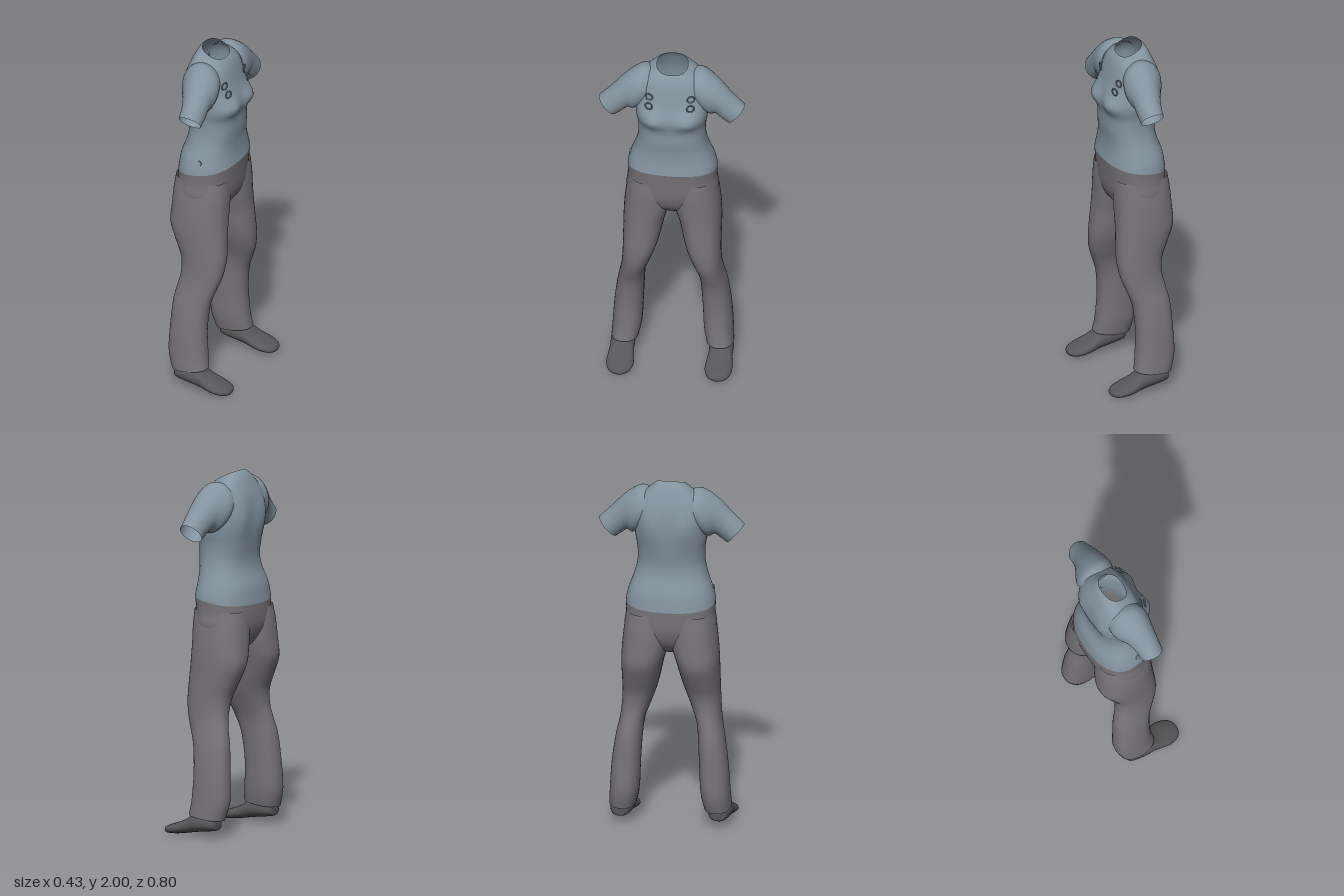
import * as THREE from 'three';

const V = (x, y, z) => new THREE.Vector3(x, y, z);
const mat = (name, color) => new THREE.MeshStandardMaterial({ name, color, side: THREE.DoubleSide });

// Catmull-Rom interpolation of table rows, for smooth outlines
function smooth(rows, steps = 4) {
  const out = [];
  const at = i => rows[Math.min(rows.length - 1, Math.max(0, i))];
  for (let i = 0; i < rows.length - 1; i++) {
    const [a, b, c, d] = [at(i - 1), at(i), at(i + 1), at(i + 2)];
    for (let s = 0; s < steps; s++) {
      const t = s / steps;
      out.push(b.map((p, k) => {
        const cubic = 3 * (p - c[k]) + d[k] - a[k];
        const square = 2 * a[k] - 5 * p + 4 * c[k] - d[k];
        return p + 0.5 * t * (c[k] - a[k] + t * (square + t * cubic));
      }));
    }
  }
  out.push(at(rows.length - 1));
  return out;
}

// Skin over rings { c, u, v }: centre and two half axes; n sets how boxy they are
function loft(rings, { n = 2, seg = 40, cap = false, bend } = {}) {
  const pos = [], idx = [];
  const pw = k => Math.sign(k) * Math.abs(k) ** (2 / n);
  for (const { c, u, v } of rings) {
    for (let j = 0; j < seg; j++) {
      const a = j / seg * Math.PI * 2;
      const p = c.clone().addScaledVector(u, pw(Math.cos(a))).addScaledVector(v, pw(Math.sin(a)));
      if (bend) bend(p);
      pos.push(p.x, p.y, p.z);
    }
  }
  for (let i = 0; i < rings.length - 1; i++) {
    for (let j = 0; j < seg; j++) {
      const k = (j + 1) % seg, r = i * seg, q = r + seg;
      idx.push(r + j, r + k, q + j, r + k, q + k, q + j);
    }
  }
  if (cap) {
    for (const i of [0, rings.length - 1]) {
      const m = pos.length / 3, r = i * seg;
      pos.push(...rings[i].c.toArray());
      for (let j = 0; j < seg; j++) {
        const k = (j + 1) % seg;
        if (i) idx.push(m, r + j, r + k);
        else idx.push(m, r + k, r + j);
      }
    }
  }
  const g = new THREE.BufferGeometry();
  g.setAttribute('position', new THREE.Float32BufferAttribute(pos, 3));
  g.setIndex(idx);
  g.computeVertexNormals();
  return g;
}

// Upright ring from [y, back x, front x, inner z, outer z, front tilt]
const level = side => ([y, x0, x1, z0, z1, tilt]) => ({
  c: V((x0 + x1) / 2, y, side * (z0 + z1) / 2),
  u: V((x1 - x0) / 2, tilt, 0),
  v: V(0, 0, (z1 - z0) / 2),
});
// Rows with one half width become rows with both sides
const centred = ([y, x0, x1, hz, tilt]) => [y, x0, x1, -hz, hz, tilt];

// Soft hill on both sides of the body
function bump(p, y, z, ry, rz) {
  const dy = (p.y - y) / ry, dz = (Math.abs(p.z) - z) / rz;
  return Math.exp(-dy * dy - dz * dz);
}

export function createModel() {
  const model = new THREE.Group();
  const shirt = mat('shirt blue grey', 0x8394a0);
  const cloth = mat('trouser grey', 0x777478);
  const leather = mat('shoe dark grey', 0x575759);
  const add = (name, geo, m) => {
    const mesh = new THREE.Mesh(geo, m);
    mesh.name = name;
    model.add(mesh);
    return mesh;
  };

  // Shirt body, open at the neckline, with chest and shoulder blade fullness
  const torso = [
    [1.97, -0.09, 0.04, 0.085, -0.03], [1.95, -0.115, 0.055, 0.11, -0.025],
    [1.91, -0.14, 0.07, 0.16, -0.01], [1.86, -0.16, 0.085, 0.19, 0],
    [1.79, -0.17, 0.105, 0.2, 0], [1.72, -0.172, 0.125, 0.2, 0],
    [1.66, -0.168, 0.135, 0.195, 0], [1.6, -0.16, 0.127, 0.185, 0],
    [1.52, -0.15, 0.125, 0.185, 0], [1.45, -0.157, 0.118, 0.2, 0],
    [1.38, -0.185, 0.12, 0.225, 0.01], [1.33, -0.195, 0.125, 0.24, 0.02],
    [1.295, -0.2, 0.13, 0.245, 0.025],
  ].map(centred);
  add('shirtBody', loft(smooth(torso).map(level(1)), {
    n: 2.4, seg: 64,
    bend: p => {
      if (p.x > 0) p.x += 0.032 * bump(p, 1.685, 0.105, 0.05, 0.075);
      else if (p.x < -0.08) p.x -= 0.015 * bump(p, 1.75, 0.1, 0.1, 0.06);
    },
  }), shirt);

  // Hips, closing under the crotch
  const hips = [
    [1.295, -0.2, 0.13, 0.245, 0.025], [1.23, -0.2, 0.122, 0.244, 0.01],
    [1.15, -0.195, 0.113, 0.25, 0], [1.08, -0.17, 0.09, 0.2, 0],
    [1.03, -0.13, 0.05, 0.11, 0], [1.0, -0.08, 0.01, 0.03, 0],
  ].map(centred);
  add('trouserHips', loft(smooth(hips).map(level(1)), { n: 2.4, seg: 64 }), cloth);

  const legRows = [
    [1.24, -0.19, 0.11, 0.005, 0.235, 0], [1.15, -0.202, 0.114, 0, 0.252, 0],
    [1.05, -0.208, 0.113, 0.008, 0.263, 0], [0.95, -0.21, 0.115, 0.037, 0.268, 0],
    [0.85, -0.172, 0.12, 0.06, 0.268, 0], [0.76, -0.135, 0.123, 0.085, 0.268, 0],
    [0.67, -0.128, 0.112, 0.118, 0.272, 0], [0.59, -0.142, 0.085, 0.145, 0.282, 0],
    [0.5, -0.16, 0.055, 0.155, 0.3, 0], [0.35, -0.17, 0.04, 0.163, 0.32, 0],
    [0.2, -0.175, 0.048, 0.17, 0.33, 0], [0.11, -0.15, 0.06, 0.187, 0.335, 0.012],
  ];
  // Sleeve rows: top z, top y, bottom z, bottom y, back x, front x
  const sleeveRows = [
    [0.12, 1.94, 0.15, 1.72, -0.14, 0.07], [0.16, 1.947, 0.185, 1.69, -0.14, 0.08],
    [0.205, 1.927, 0.215, 1.675, -0.125, 0.078], [0.265, 1.88, 0.24, 1.685, -0.098, 0.07],
    [0.335, 1.805, 0.27, 1.662, -0.075, 0.066], [0.4, 1.74, 0.305, 1.635, -0.066, 0.062],
  ];
  // Shoe rows: x, sole y, top y, half width
  const shoeRows = [
    [-0.125, 0.055, 0.095, 0.02], [-0.112, 0.042, 0.115, 0.048],
    [-0.03, 0.03, 0.13, 0.066], [0.03, 0.02, 0.118, 0.065],
    [0.08, 0.011, 0.088, 0.071], [0.13, 0.004, 0.067, 0.075],
    [0.18, 0.001, 0.05, 0.061], [0.205, 0.006, 0.038, 0.036], [0.213, 0.015, 0.028, 0.012],
  ];

  for (const [s, side] of [[1, 'nearSide'], [-1, 'farSide']]) {
    add(side + 'TrouserLeg', loft(smooth(legRows).map(level(s)), { n: 2.3 }), cloth);

    add(side + 'Sleeve', loft(smooth(sleeveRows).map(([zt, yt, zb, yb, x0, x1]) => ({
      c: V((x0 + x1) / 2, (yt + yb) / 2, s * (zt + zb) / 2),
      u: V((x1 - x0) / 2, 0, 0),
      v: V(0, s * (yt - yb) / 2, (zt - zb) / 2),
    }))), shirt);

    add(side + 'Shoe', loft(smooth(shoeRows).map(([x, y0, y1, h]) => ({
      c: V(x, (y0 + y1) / 2, s * 0.27),
      u: V(0, (y1 - y0) / 2, 0),
      v: V(0, 0, h),
    })), { n: 2.2, cap: true }), leather);

    // Chest fastening loops
    for (const [y, x] of [[1.82, 0.088], [1.775, 0.112]]) {
      const loop = add(side + 'ChestLoop', new THREE.TorusGeometry(0.02, 0.004, 6, 16), shirt);
      loop.position.set(x, y, s * 0.115);
      loop.rotation.y = Math.PI / 2 - s * 0.3;
    }
  }

  // Small button on the hip
  const button = add('hipButton', new THREE.CylinderGeometry(0.014, 0.014, 0.008, 16), shirt);
  button.position.set(-0.01, 1.37, 0.23);
  button.rotation.x = Math.PI / 2 - 0.2;
  return model;
}
